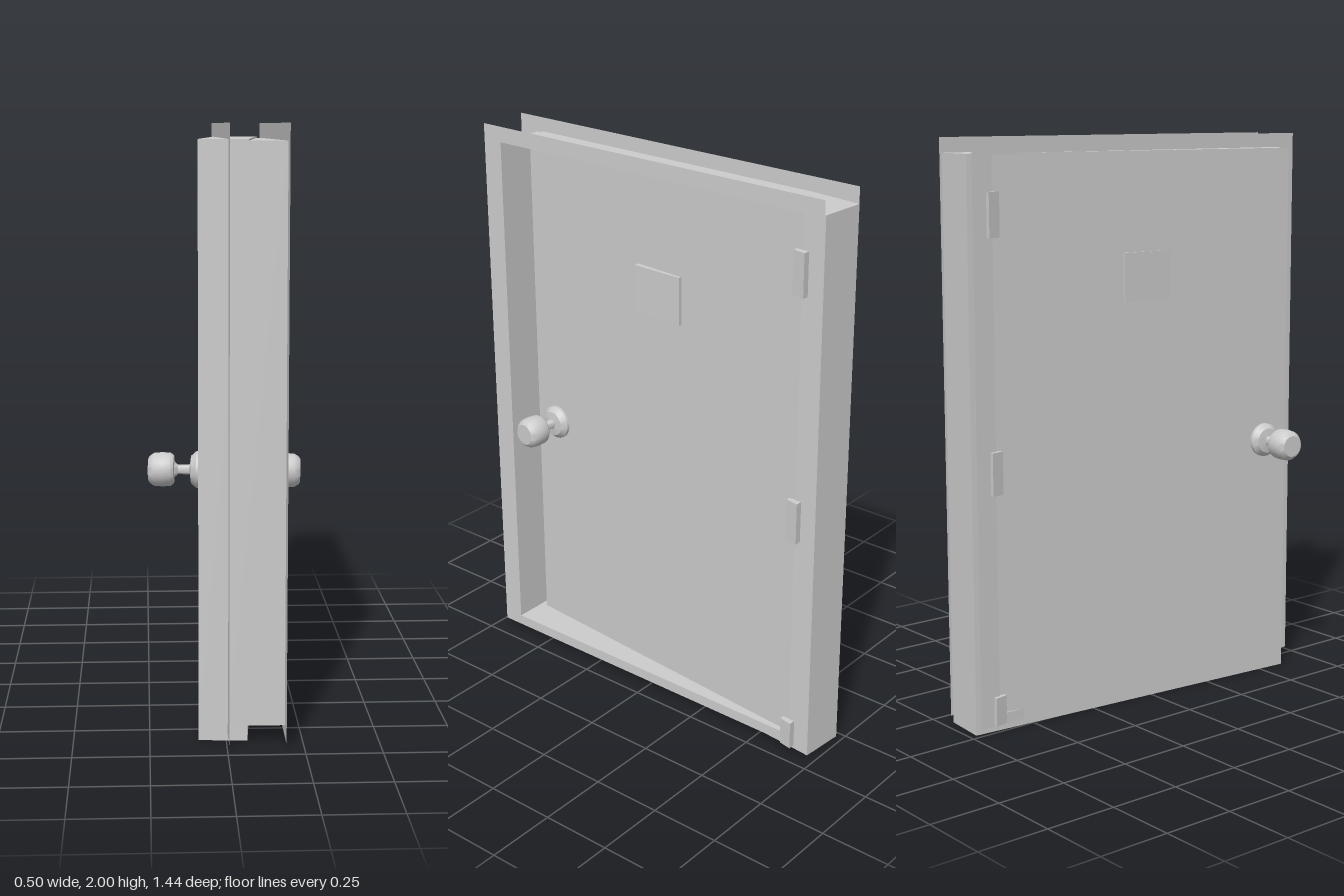
import * as THREE from 'three';
import { toCreasedNormals } from 'three/addons/utils/BufferGeometryUtils.js';

const material = new THREE.MeshStandardMaterial({ color: 0xcccccc, side: THREE.DoubleSide });

function add(parent, geometry, name, x = 0, y = 0, z = 0) {
  const mesh = new THREE.Mesh(geometry, material);
  mesh.name = name;
  mesh.position.set(x, y, z);
  parent.add(mesh);
  return mesh;
}

// Closed outline in the (-z, y) plane
function rectangle(Type, z0, z1, y0, y1) {
  const path = new Type();
  path.moveTo(-z1, y0);
  path.lineTo(-z0, y0);
  path.lineTo(-z0, y1);
  path.lineTo(-z1, y1);
  path.closePath();
  return path;
}

function makeFrame() {
  const frame = new THREE.Group();
  frame.name = 'doorFrame';
  const xBack = 0.005, xFront = 0.19;
  const z0 = -0.637, z1 = 0.643, y0 = 0.06, y1 = 1.945;

  // Thin flat trim on both faces of the wall opening
  const trim = rectangle(THREE.Shape, -0.714, 0.72, 0.022, 2);
  trim.holes.push(rectangle(THREE.Path, z0, z1, y0, y1));
  for (const [x, name] of [[xBack, 'trimBack'], [xFront, 'trimFront']]) {
    add(frame, new THREE.ShapeGeometry(trim), name, x).rotation.y = Math.PI / 2;
  }

  // Thin lining between the two trims
  const depth = xFront - xBack, xMid = (xFront + xBack) / 2;
  for (const [z, name] of [[z0, 'hingeJamb'], [z1, 'latchJamb']]) {
    add(frame, new THREE.PlaneGeometry(depth, y1 - y0), name, xMid, (y0 + y1) / 2, z);
  }
  for (const [y, name] of [[y0, 'sill'], [y1, 'header']]) {
    add(frame, new THREE.PlaneGeometry(depth, z1 - z0), name, xMid, y, (z0 + z1) / 2)
      .rotation.x = -Math.PI / 2;
  }
  return frame;
}

// Tapered hinge leaf, extruded upward
function makeHinge(side, y0, y1) {
  const mid = 0.102;
  const profile = [[0.078, -0.66], [0.112, -0.66], [0.103, -0.613], [0.086, -0.613], [0.086, -0.64], [0.078, -0.64]];
  const shape = new THREE.Shape(profile.map(([x, z]) => new THREE.Vector2(mid + side * x, -z)));
  const geometry = new THREE.ExtrudeGeometry(shape, { depth: y1 - y0, bevelEnabled: false });
  geometry.rotateX(-Math.PI / 2);
  geometry.translate(0, y0, 0);
  return geometry;
}

function makeDoor() {
  const door = new THREE.Group();
  door.name = 'door';
  door.position.set(0.045, 0, -0.053);
  door.rotation.y = -0.083;
  add(door, new THREE.BoxGeometry(0.16, 1.95, 1.335), 'doorSlab', 0, 0.975, 0);

  // Rosette, neck and rounded knob turned as one profile
  const profile = [
    [0, 0.078], [0.061, 0.078], [0.061, 0.09], [0.045, 0.108], [0.017, 0.112],
    [0.015, 0.15], [0.026, 0.162], [0.046, 0.164], [0.054, 0.174], [0.056, 0.2],
    [0.054, 0.228], [0.046, 0.241], [0.038, 0.247], [0, 0.247],
  ].map(([r, h]) => new THREE.Vector2(r, h));
  for (const [side, name] of [[1, 'knobFront'], [-1, 'knobBack']]) {
    const geometry = toCreasedNormals(new THREE.LatheGeometry(profile, 32), 0.6);
    add(door, geometry, name, 0, 0.885, 0.567).rotation.z = -side * Math.PI / 2;
  }
  return door;
}

export function createModel() {
  const model = new THREE.Group();
  model.name = 'hingedDoor';
  model.add(makeFrame(), makeDoor());

  // Small window block passing through the slab
  add(model, new THREE.BoxGeometry(0.18, 0.17, 0.2), 'windowBlock', 0.047, 1.52, -0.014)
    .rotation.y = -0.044;

  // Three hinges on each face
  for (const [side, name] of [[1, 'hingeFront'], [-1, 'hingeBack']]) {
    for (const [y0, y1] of [[0.025, 0.125], [0.825, 0.972], [1.68, 1.828]]) {
      add(model, makeHinge(side, y0, y1), name);
    }
  }
  return model;
}
